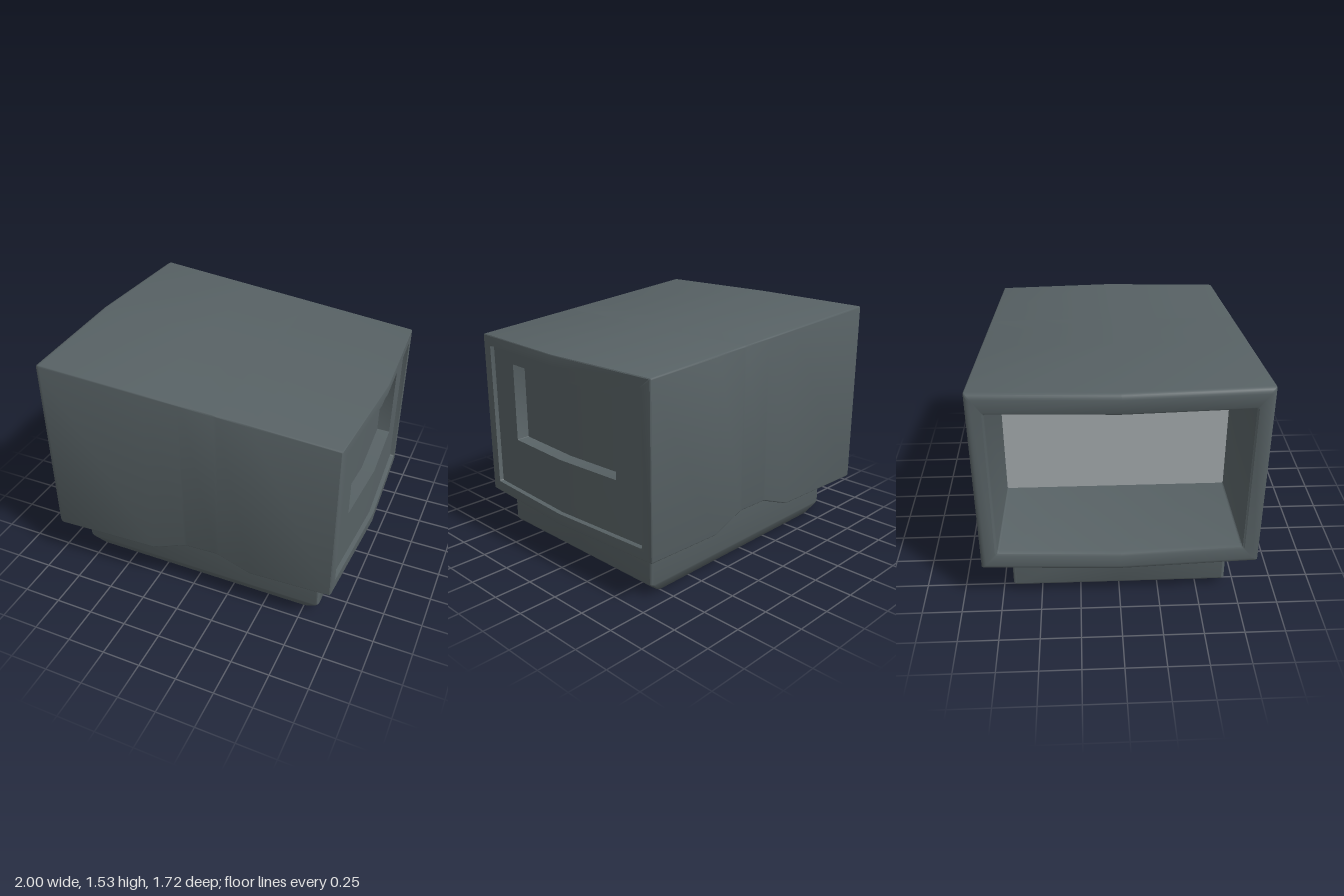
import * as THREE from 'three';
import { toCreasedNormals } from 'three/addons/utils/BufferGeometryUtils.js';

// Rounded rectangle as [v, w] pairs: v from v0 to v1, w from -half to half
function perimeter(half, v0, v1, r) {
  const pts = [];
  const corners = [[v1 - r, half - r], [v0 + r, half - r], [v0 + r, r - half], [v1 - r, r - half]];
  corners.forEach(([v, w], c) => {
    for (let i = 0; i <= 3; i++) {
      const a = (c + i / 3) * Math.PI / 2;
      pts.push([v + r * Math.cos(a), w + r * Math.sin(a)]);
    }
    // middle point of the lower and upper edges, where the ends peak
    if (c === 1) pts.push([v0, 0]);
    if (c === 3) pts.push([v1, 0]);
  });
  return pts;
}

// Skin over rings that all have the same number of points
function loft(rings) {
  const n = rings[0].length;
  const index = [];
  for (let i = 0; i < rings.length - 1; i++) {
    for (let j = 0; j < n; j++) {
      const a = i * n + j, b = i * n + (j + 1) % n;
      index.push(a, b, b + n, a, b + n, a + n);
    }
  }
  const g = new THREE.BufferGeometry();
  g.setAttribute('position', new THREE.Float32BufferAttribute(rings.flat(2), 3));
  g.setIndex(index);
  return toCreasedNormals(g, 0.6);
}

// Upright ring at x, pushed out by peak along its middle
function uprightRing(x, peak, half, y0, y1, r = 0.01) {
  const ref = x < 0 ? 0.86 : 0.78;
  return perimeter(half, y0, y1, r).map(([y, z]) => [x + peak * (1 - Math.abs(z) / ref), y, z]);
}

const topAt = (x) => 1.466 - 0.0743 * x;
const halfAt = (x) => 0.82 - 0.042 * x;
const outerRing = (x, peak, y0 = 0.305, inset = 0) =>
  uprightRing(x, peak, halfAt(x) - inset, y0 + inset, topAt(x) - inset);

function housingGeometry() {
  const rings = [];
  // cavity open at the -x end
  rings.push(uprightRing(-0.31, 0, 0.73, 0.9, 0.9, 0));
  rings.push(uprightRing(-0.31, 0, 0.73, 0.46, 1.36));
  rings.push(uprightRing(-0.93, -0.04, 0.75, 0.435, 1.405));
  rings.push(uprightRing(-0.952, -0.04, 0.754, 0.428, 1.41));
  rings.push(uprightRing(-0.96, -0.04, 0.765, 0.415, 1.422));
  // rounded outer rim
  for (let i = 0; i <= 4; i++) {
    const a = i / 4 * Math.PI / 2;
    rings.push(outerRing(-0.925 - 0.035 * Math.cos(a), -0.04, 0.305, 0.035 * (1 - Math.sin(a))));
  }
  // body, with the raised notch in the lower edge
  [[-0.24, 0.305], [-0.02, 0.392], [0, 0.396], [0.2, 0.396], [0.22, 0.392], [0.43, 0.305]]
    .forEach(([x, y]) => rings.push(outerRing(x, 0, y)));
  // peaked +x lip and the step down to the end panel
  rings.push(outerRing(0.95, 0.048));
  rings.push(outerRing(0.955, 0.045, 0.305, 0.005));
  rings.push(uprightRing(0.955, 0.045, 0.704, 0.376, 1.329));
  rings.push(uprightRing(0.928, 0.045, 0.70, 0.38, 1.325));
  // end panel with its rectangular recess
  rings.push(uprightRing(0.928, 0.045, 0.48, 0.73, 1.24, 0.004));
  rings.push(uprightRing(0.843, 0.045, 0.477, 0.733, 1.237, 0.004));
  rings.push(uprightRing(0.843, 0.045, 0.477, 0.985, 0.985, 0));
  return loft(rings);
}

function baseGeometry() {
  const flat = (y, hx, hz, r = 0.02) =>
    perimeter(hz, 0.006 - hx, 0.006 + hx, r).map(([x, z]) => [x, y, z]);
  return loft([
    flat(0.41, 0, 0.68, 0),
    flat(0.41, 0.852, 0.68),
    flat(0.085, 0.852, 0.68),
    flat(0.07, 0.842, 0.675),
    flat(0.015, 0.775, 0.648),
    flat(0, 0.75, 0.635),
    flat(0, 0, 0.635, 0),
  ]);
}

function namedMaterial(name, color) {
  const material = new THREE.MeshStandardMaterial({ color });
  material.name = name;
  return material;
}

export function createModel() {
  const slate = namedMaterial('slate grey', 0x576164);
  const paleGrey = namedMaterial('pale grey', 0xa2a8ab);
  const model = new THREE.Group();
  model.name = 'equipmentHousing';
  const add = (name, geometry, material) => {
    const mesh = new THREE.Mesh(geometry, material);
    mesh.name = name;
    model.add(mesh);
  };
  add('housing', housingGeometry(), slate);
  add('base', baseGeometry(), slate);

  // pale panel covering the rear wall of the cavity
  add('innerPanel', new THREE.BoxGeometry(0.008, 0.9, 1.46).translate(-0.314, 0.91, 0), paleGrey);
  return model;
}
